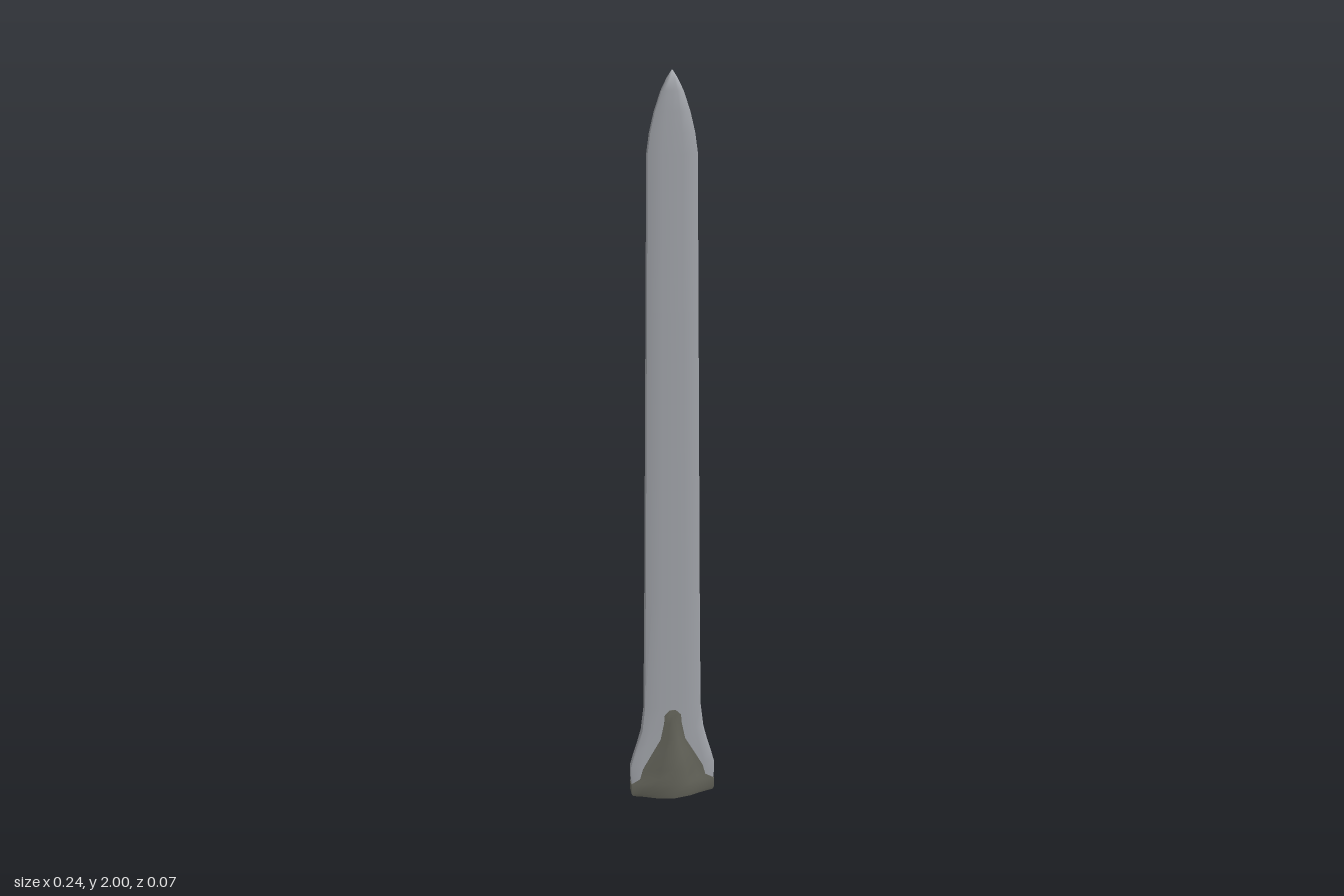
import * as THREE from 'three';
import { toCreasedNormals } from 'three/addons/utils/BufferGeometryUtils.js';

// Mirrors a quarter outline, listed from the +x edge to the +z ridge, into a closed ring.
function mirrorRing(quarter) {
  const half = [...quarter, ...quarter.slice(0, -1).reverse().map(([x, y, z]) => [-x, y, z])];
  return [...half, ...half.slice().reverse().map(([x, y, z]) => [x, y, -z])];
}

// Skins a stack of rings from bottom to top and closes both ends.
function loft(rings, crease) {
  const n = rings[0].length;
  const last = (rings.length - 1) * n;
  const points = rings.flat();
  const index = [];
  for (let r = 0; r < rings.length - 1; r++) {
    for (let j = 0; j < n; j++) {
      const a = r * n + j, b = r * n + (j + 1) % n;
      index.push(a, a + n, b, b, a + n, b + n);
    }
  }
  const bottom = points.length, top = bottom + 1;
  points.push([0, rings[0][(n / 4) | 0][1], 0], [0, rings.at(-1)[0][1], 0]);
  for (let j = 0; j < n; j++) {
    const k = (j + 1) % n;
    index.push(bottom, j, k, top, last + k, last + j);
  }
  const geometry = new THREE.BufferGeometry();
  geometry.setAttribute('position', new THREE.Float32BufferAttribute(points.flat(), 3));
  geometry.setIndex(index);
  return toCreasedNormals(geometry, crease);
}

export function createModel() {
  const group = new THREE.Group();
  const steel = new THREE.MeshStandardMaterial({ color: 0xa6a9af });
  const darkMetal = new THREE.MeshStandardMaterial({ color: 0x66665c });
  steel.name = 'steel';
  darkMetal.name = 'dark metal';

  // Blade: height, half width, half thickness at the edge, half thickness at the centre
  const bladeRows = [
    [0.012, 0.112, 0.010, 0.0135], [0.045, 0.118, 0.010, 0.0135],
    [0.07, 0.12, 0.010, 0.0135], [0.10, 0.119, 0.010, 0.0135],
    [0.13, 0.111, 0.009, 0.0135], [0.17, 0.099, 0.007, 0.0135],
    [0.21, 0.089, 0.004, 0.0135], [0.28, 0.081, 0.002, 0.0135],
    [0.6, 0.077, 0.001, 0.0135], [1.0, 0.073, 0.001, 0.0135],
    [1.4, 0.069, 0.001, 0.0133], [1.8, 0.065, 0.001, 0.013],
    [1.85, 0.058, 0.001, 0.013], [1.9, 0.046, 0.001, 0.0125],
    [1.95, 0.029, 0.001, 0.012], [1.98, 0.014, 0.001, 0.009],
    [2.0, 0.001, 0.0005, 0.001],
  ];
  const blade = new THREE.Mesh(loft(bladeRows.map(([y, w, e, t]) => mirrorRing([
    [w, y, e],
    [w * 0.96, y, e + (t - e) * 0.5],
    [w * 0.74, y, e + (t - e) * 0.85],
    [w * 0.4, y, t * 0.98],
    [0, y, t],
  ])), 0.7), steel);
  blade.name = 'blade';
  group.add(blade);

  // Collar: height, half width, edge half depth, ridge half depth, lift of the outer corners
  const collarRows = [
    [0, 0.115, 0.012, 0.032, 0.008], [0.014, 0.119, 0.0145, 0.034, 0.003],
    [0.045, 0.1195, 0.0145, 0.034, 0], [0.06, 0.094, 0.0145, 0.034, 0],
    [0.09, 0.086, 0.0145, 0.033, 0], [0.14, 0.058, 0.0145, 0.029, 0],
    [0.18, 0.035, 0.0145, 0.0245, 0], [0.23, 0.025, 0.0145, 0.019, 0],
    [0.255, 0.023, 0.0143, 0.0165, 0], [0.27, 0.008, 0.0138, 0.015, 0],
  ];
  const collar = new THREE.Mesh(loft(collarRows.map(([y, w, e, d, lift]) => mirrorRing([
    [w, y + lift, e],
    [w * 0.76, y + lift * 0.6, e + (d - e) * 0.14],
    [w * 0.43, y + lift * 0.2, e + (d - e) * 0.64],
    [0, y, d],
  ])), 0.6), darkMetal);
  collar.name = 'collar';
  group.add(collar);

  return group;
}
